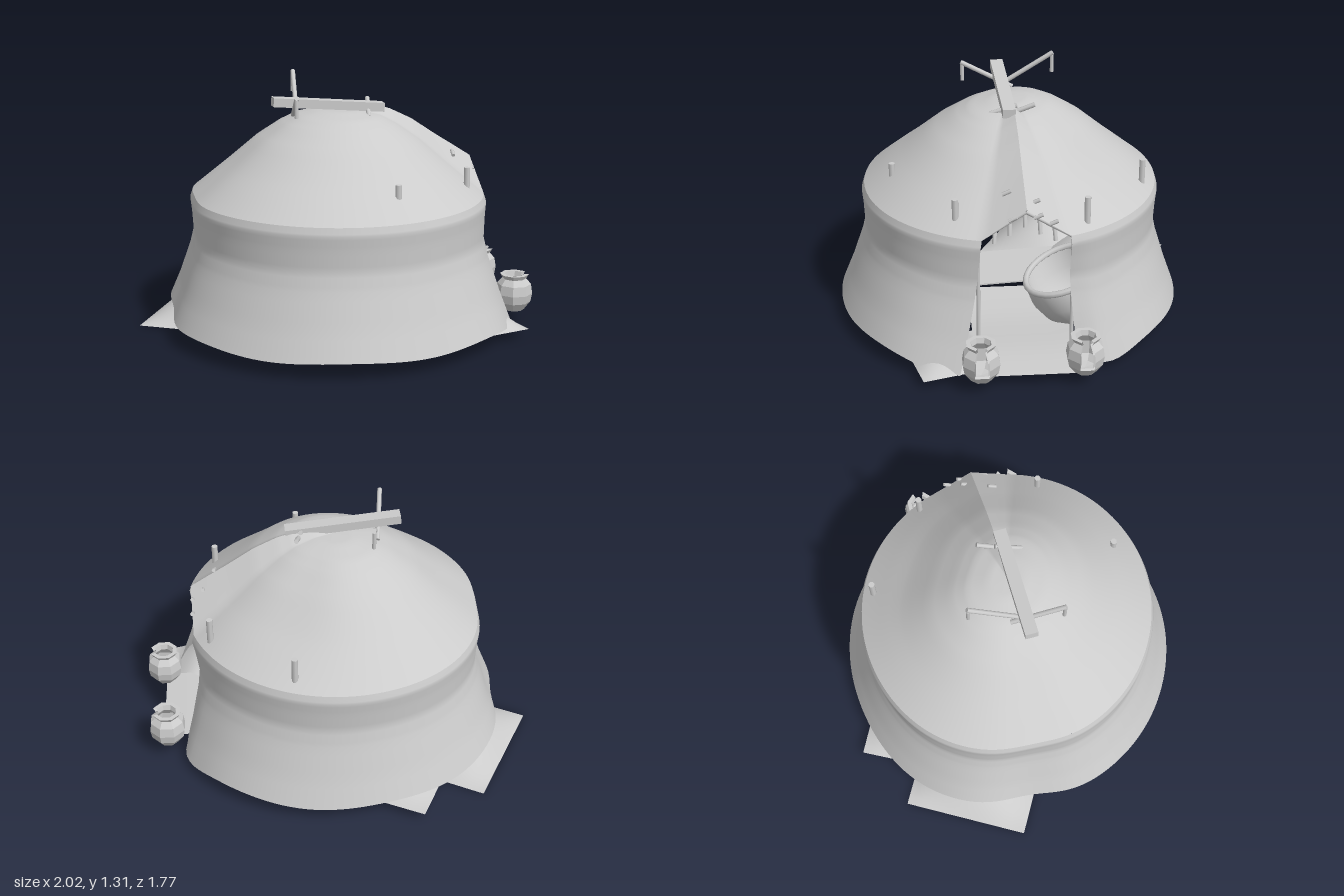
import * as THREE from 'three';

const D = Math.PI / 180;
const grey = new THREE.MeshStandardMaterial({ color: 0xcccccc });
const cloth = new THREE.MeshStandardMaterial({ color: 0xcccccc, side: THREE.DoubleSide });
const faceted = new THREE.MeshStandardMaterial({ color: 0xcccccc, side: THREE.DoubleSide, flatShading: true });
const V = (x, y, z) => new THREE.Vector3(x, y, z);

// Surface from a rule fn(u, v) -> Vector3, u and v in 0..1
function sheet(nu, nv, fn) {
  const pos = [], idx = [];
  for (let j = 0; j <= nv; j++) for (let i = 0; i <= nu; i++) pos.push(...fn(i / nu, j / nv).toArray());
  for (let j = 0; j < nv; j++) for (let i = 0; i < nu; i++) {
    const a = j * (nu + 1) + i, b = a + nu + 1;
    idx.push(a, b, a + 1, b, b + 1, a + 1);
  }
  const g = new THREE.BufferGeometry();
  g.setAttribute('position', new THREE.Float32BufferAttribute(pos, 3));
  g.setIndex(idx);
  g.computeVertexNormals();
  return g;
}

// Profile lookup by linear interpolation between [radius, height] points
function along(profile, t) {
  const s = t * (profile.length - 1), i = Math.min(Math.floor(s), profile.length - 2), f = s - i;
  return [0, 1].map(k => profile[i][k] * (1 - f) + profile[i + 1][k] * f);
}

// Angular difference and soft bump around an angle in degrees
const diff = (a, b) => ((a - b + 540) % 360) - 180;
const bump = (a, c, w) => Math.exp(-Math.pow(diff(a, c) / w, 2));
// Slightly oval plan with a dent at the front right
const plan = a => 1 - 0.025 * bump(a, 148, 13) + 0.008 * Math.cos(2 * a * D) + 0.015 * bump(a, 185, 25);
const polar = (a, r, y) => V(r * Math.cos(a * D), y, r * Math.sin(a * D));
const lathe = (profile, ...rest) => new THREE.LatheGeometry(profile.map(p => new THREE.Vector2(...p)), ...rest);

const DOOR = -36.5, HALF = 16.5;
const wallProfile = [[0.893, 0.085], [0.838, 0.22], [0.775, 0.4], [0.753, 0.49], [0.757, 0.6], [0.763, 0.67], [0.75, 0.71]];
const roofProfile = [[0.75, 0.71], [0.64, 0.8], [0.55, 0.872], [0.41, 0.99], [0.29, 1.07], [0.21, 1.11], [0.1, 1.135], [0.001, 1.138]];

// Wall: open at the door, hem wavy, drawn inward beside the far door edge
function wallPoint(u, v) {
  const [r, y] = along(wallProfile, v);
  const low = Math.max(0, (0.69 - y) / 0.6);
  const start = DOOR + HALF + 5 * low, end = 360 + DOOR - HALF - low;
  const a = start + (end - start) * u;
  const hem = (1 - v) * (1 - v) * (0.03 * bump(a, 165, 30) - 0.035 * bump(a, -65, 10)
    - 0.03 * bump(a, -12, 14) + 0.006 * Math.sin(a * 7 * D));
  const pull = 1 + low * (0.02 * bump(a, 0, 18) - 0.08 * bump(a, -53, 6) - 0.025 * bump(a, 225, 30)
    - 0.025 * bump(a, 152, 12));
  return polar(a, r * plan(a) * pull, y + hem);
}

// The roof is cut straight above the door and lifted into a peaked arch;
// its crown is longer across than front to back and the back slope sags
function roofPoint(u, v) {
  const a = DOOR + 360 * u, off = diff(a, DOOR);
  const [r, y] = along(roofProfile, v);
  const inDoor = Math.max(0, 1 - Math.abs(off) / HALF);
  const cut = inDoor > 0 ? Math.cos(HALF * D) / Math.cos(off * D) : 1;
  const oval = 1 + 0.13 * v * v * Math.cos(2 * a * D);
  const sag = 1 - 0.09 * bump(a, -95, 28) * Math.sin(Math.PI * v);
  return polar(a, r * plan(a) * cut * oval * sag, y + 0.15 * inDoor * Math.min(1, r / 0.75));
}

export function createModel() {
  const root = new THREE.Group();
  const add = (name, geo, mat = grey, parent = root) => {
    const m = new THREE.Mesh(geo, mat);
    m.name = name;
    parent.add(m);
    return m;
  };
  const bar = (name, p, q, r = 0.012, sides = 8) => {
    const d = q.clone().sub(p);
    const m = add(name, new THREE.CylinderGeometry(r, r, d.length(), sides));
    m.position.copy(p).add(q).multiplyScalar(0.5);
    m.quaternion.setFromUnitVectors(V(0, 1, 0), d.normalize());
    return m;
  };

  // Tent cloth
  add('tentWall', sheet(120, 24, wallPoint), cloth);
  add('tentRoof', sheet(132, 28, roofPoint), cloth);

  // Vertical posts that poke through the roof, and shorter inner ones
  for (const [x, z] of [[-0.19, -0.66], [0.33, -0.62], [0.67, -0.09], [0.48, 0.4]])
    bar('wallPost', V(x, 0.08, z), V(x, 0.87, z), 0.016);
  for (const a of [205, 235]) bar('innerPost', polar(a, 0.65, 0.1), polar(a, 0.65, 0.69), 0.014);

  // Inner cross rails and rafters
  for (const a of [175, 205]) bar('crossRail', polar(a, 0.65, 0.69), polar(a + 30, 0.65, 0.69), 0.012);
  for (const a of [20, 110, 200]) bar('rafter', polar(a, 0.62, 0.7), polar(a, 0.12, 1.06), 0.012);

  // Door frame: jambs, arch bars, ridge pole and hanging ties
  const jambA = polar(DOOR + HALF + 2, 0.72, 0.69), jambB = polar(DOOR - HALF - 2, 0.72, 0.69);
  const peak = polar(DOOR, 0.69, 0.835);
  for (const top of [jambA, jambB]) {
    bar('doorJamb', V(top.x, 0.08, top.z), top, 0.01);
    bar('doorArch', top, peak, 0.01);
  }
  bar('ridgePole', peak, polar(DOOR, 0.2, 1.08), 0.012);
  for (let i = 1; i < 6; i++) {
    const p = jambA.clone().lerp(jambB, i / 6).multiplyScalar(0.97);
    const y = 0.7 + 0.12 * (1 - Math.abs(i - 3) / 3);
    bar('doorTie', V(p.x, y - 0.08, p.z), V(p.x * 0.96, y, p.z * 0.96), 0.012, 6);
  }

  // Lacing pegs on the roof edge
  for (const [x, y, z] of [[0.5, 0.785, -0.53], [0.54, 0.82, -0.47], [0.61, 0.81, -0.37], [0.5, 0.87, -0.43], [0.53, 0.895, -0.29]])
    bar('lacingPeg', V(x - 0.01, y + 0.01, z - 0.018), V(x + 0.01, y - 0.01, z + 0.018), 0.01, 6);
  bar('sidePeg', V(-0.59, 0.69, 0.345), V(-0.625, 0.685, 0.35), 0.009, 6);

  // Crown: slanted beam with crossed sticks and hanging rods
  const beam = add('crownBeam', new THREE.BoxGeometry(0.58, 0.045, 0.065));
  beam.position.set(-0.025, 1.17, 0.055);
  beam.rotation.set(0, 37 * D, -5 * D, 'YXZ');
  bar('crownStick', V(-0.285, 1.305, -0.09), V(-0.17, 1.14, 0.13));
  bar('crownStick', V(-0.075, 1.24, 0.335), V(-0.2, 1.11, 0.1));
  bar('crownStick', V(0.09, 1.17, -0.195), V(0.15, 1.11, -0.07));
  bar('crownStick', V(0.18, 1.11, 0.01), V(0.12, 1.16, -0.11));
  bar('hangingRod', V(-0.285, 1.2, -0.085), V(-0.285, 1.29, -0.085), 0.01);
  bar('hangingRod', V(-0.08, 1.14, 0.33), V(-0.08, 1.23, 0.33), 0.01);

  // Eight-sided jars by the door, each with one broken-out side
  const jarProfile = [[0.088, 0.115], [0.096, 0.16], [0.088, 0.21], [0.062, 0.24],
    [0.075, 0.262], [0.052, 0.262], [0.045, 0.235], [0.075, 0.19], [0.075, 0.12]];
  const jarBase = [[0.001, 0.07], [0.055, 0.07], [0.088, 0.115], [0.075, 0.12], [0.05, 0.09], [0.001, 0.085]];
  for (const [x, z] of [[0.555, -0.74], [0.865, -0.345]]) {
    const jar = new THREE.Group();
    jar.name = 'jar';
    add('jarSides', lathe(jarProfile, 7, 147.5 * D, 315 * D), faceted, jar);
    add('jarBase', lathe(jarBase, 8, 147.5 * D), faceted, jar);
    jar.position.set(x, 0, z);
    root.add(jar);
  }

  // Tilted tub inside
  const tub = new THREE.Group();
  tub.name = 'tub';
  const tubProfile = [[0.001, 0], [0.12, 0], [0.18, 0.06], [0.212, 0.15], [0.212, 0.26], [0.192, 0.26], [0.19, 0.15], [0.14, 0.06], [0.001, 0.04]];
  add('tubBowl', lathe(tubProfile, 28), cloth, tub);
  const rim = add('tubRim', new THREE.TorusGeometry(0.204, 0.016, 8, 32), grey, tub);
  rim.rotation.x = Math.PI / 2;
  rim.position.y = 0.26;
  tub.position.set(0.1, 0.1, -0.48);
  tub.rotation.set(0.28, 0, -0.25);
  root.add(tub);

  // Small slatted stand
  const stand = new THREE.Group();
  stand.name = 'stand';
  for (const x of [-0.08, 0.08]) for (const z of [-0.06, 0.06])
    add('standLeg', new THREE.BoxGeometry(0.018, 0.16, 0.018), grey, stand).position.set(x, 0.08, z);
  for (let i = 0; i < 4; i++)
    add('standSlat', new THREE.BoxGeometry(0.2, 0.016, 0.035), grey, stand).position.set(0, 0.165, -0.06 + i * 0.04);
  stand.position.set(0.48, 0.09, 0.18);
  stand.rotation.y = 0.6;
  root.add(stand);

  // Ground cloths with a raised middle: x, z, side, turn, base height, rise
  for (const [x, z, side, turn, y, rise] of [
    [-0.645, 0.1, 0.65, 7, 0, 0.18], [-0.5, -0.26, 0.6, 9, 0.05, 0.14],
    [0.75, -0.09, 0.37, 50, 0.05, 0.1], [0.25, 0.45, 0.4, 8, 0.06, 0.1]]) {
    const mat = add('groundCloth', sheet(16, 16, (u, v) => V((u - 0.5) * side,
      rise * Math.sin(u * Math.PI) * Math.sin(v * Math.PI), (v - 0.5) * side)), cloth);
    mat.position.set(x, y, z);
    mat.rotation.y = turn * D;
  }

  // Rugs: one through the doorway, one across the floor
  const doorRug = add('doorRug', sheet(4, 12, (u, v) => V((u - 0.5) * 0.5, 0.012 * Math.sin(v * 7), (v - 0.5) * 0.85)), cloth);
  doorRug.position.set(0.38, 0.07, -0.29);
  doorRug.rotation.y = -0.97;
  const floorRug = add('floorRug', new THREE.BoxGeometry(1.3, 0.008, 0.36));
  floorRug.position.set(-0.02, 0.085, 0.22);
  floorRug.rotation.y = -50 * D;
  return root;
}
